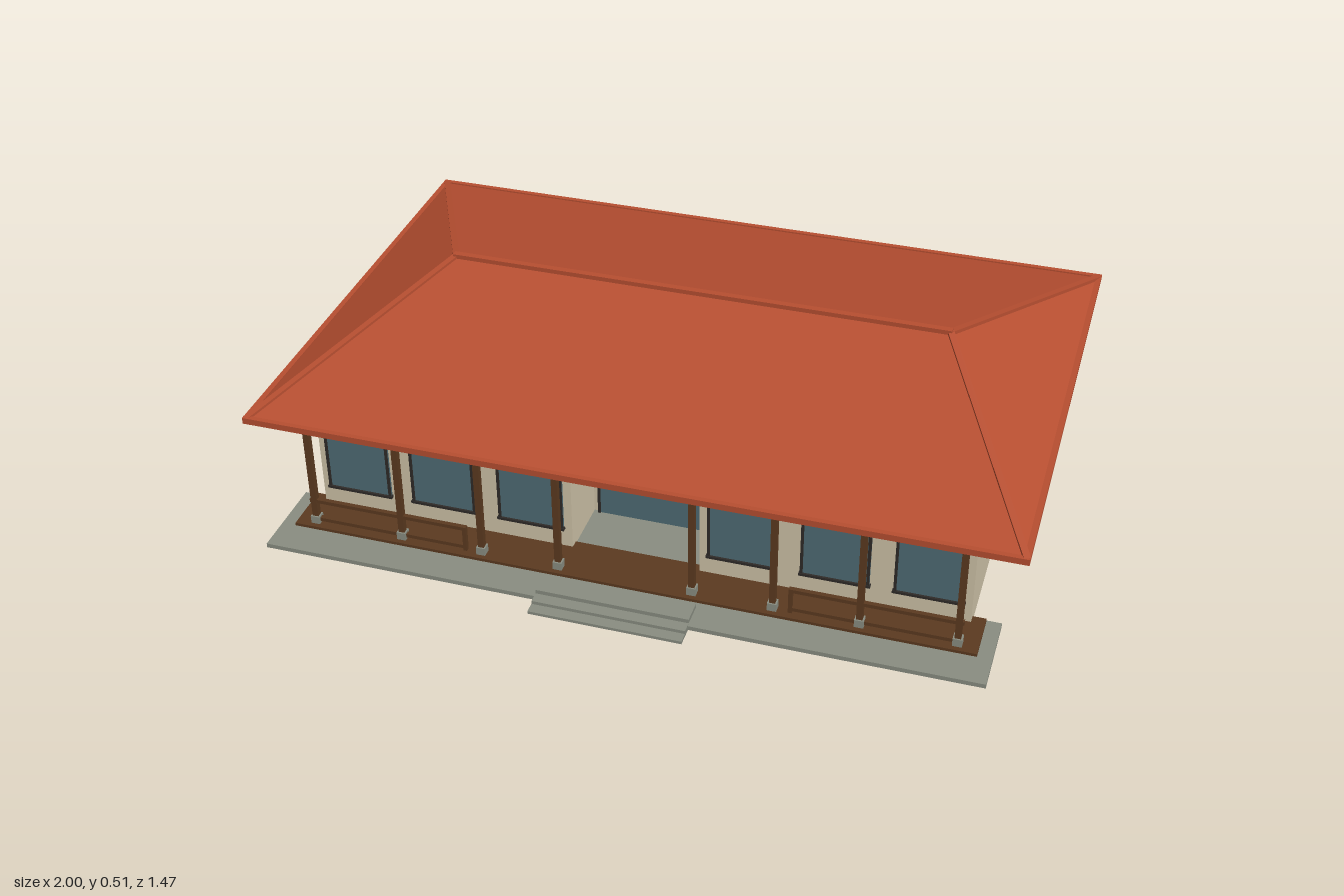
import * as THREE from 'three';
import { ConvexGeometry } from 'three/addons/geometries/ConvexGeometry.js';

const mat = (name, color) => {
  const m = new THREE.MeshStandardMaterial({ color });
  m.name = name;
  return m;
};

export function createModel() {
  const house = new THREE.Group();
  house.name = 'house';
  const tile = mat('roof tile', 0xb84f31);
  const plaster = mat('plaster', 0xd0c4a9);
  const glass = mat('glass', 0x4f6c75);
  const frame = mat('window frame', 0x2f2b28);
  const wood = mat('wood', 0x5c3a20);
  const stone = mat('stone', 0x8a8e82);

  const add = (parent, name, geometry, material) => {
    const mesh = new THREE.Mesh(geometry, material);
    mesh.name = name;
    parent.add(mesh);
    return mesh;
  };
  // Box given by its ranges along each axis
  const box = (parent, name, material, [x0, x1], [y0, y1], [z0, z1]) => {
    const mesh = add(parent, name, new THREE.BoxGeometry(x1 - x0, y1 - y0, z1 - z0), material);
    mesh.position.set((x0 + x1) / 2, (y0 + y1) / 2, (z0 + z1) / 2);
    return mesh;
  };

  const W = 0.865, FRONT = 0.478, BACK = -0.595, ALCOVE = 0.305, AW = 0.17, AH = 0.272;

  // Walls: plan with an entrance alcove, closed above by a full band
  const plan = new THREE.Shape([
    [-W, -FRONT], [-AW, -FRONT], [-AW, -ALCOVE], [AW, -ALCOVE],
    [AW, -FRONT], [W, -FRONT], [W, -BACK], [-W, -BACK],
  ].map(([x, y]) => new THREE.Vector2(x, y)));
  const walls = new THREE.ExtrudeGeometry(plan, { depth: AH, bevelEnabled: false });
  walls.rotateX(-Math.PI / 2);
  add(house, 'walls', walls, plaster);
  box(house, 'upperWall', plaster, [-W, W], [AH, 0.34], [BACK, FRONT]);

  // Window facing +z, turned to suit each wall
  const addWindow = (name, x, z, turn, w, y0, y1, bottomBar = true) => {
    const g = new THREE.Group();
    g.name = name;
    const h = w / 2, t = 0.007;
    box(g, 'pane', glass, [-h, h], [y0, y1], [-0.002, 0.006]);
    for (const s of [-1, 1]) {
      const x0 = s * (h - t / 2);
      box(g, 'jamb', frame, [x0 - t / 2, x0 + t / 2], [y0, y1], [-0.002, 0.01]);
    }
    box(g, 'lintel', frame, [-h - 0.003, h + 0.003], [y1 - t, y1], [-0.002, 0.012]);
    if (bottomBar) box(g, 'sill', frame, [-h - 0.003, h + 0.003], [y0, y0 + t], [-0.002, 0.012]);
    g.position.set(x, 0, z);
    g.rotation.y = turn;
    house.add(g);
  };
  for (const s of [-1, 1]) {
    for (const x of [0.28, 0.52, 0.757]) addWindow('frontWindow', s * x, FRONT, 0, 0.176, 0.078, 0.27);
    for (const z of [0.14, -0.147, -0.435]) addWindow('sideWindow', s * W, z, s * Math.PI / 2, 0.18, 0.08, 0.27);
  }
  for (let i = -2; i <= 2; i++) addWindow('backWindow', i * 0.333, BACK, Math.PI, 0.195, 0.08, 0.265);
  addWindow('entranceDoor', 0, ALCOVE, 0, 0.315, 0.015, 0.257, false);

  // Hipped roof
  const EX = 0.993, EF = 0.606, EB = -0.727, RX = 0.68, RZ = -0.06, RY = 0.505, EY = 0.345;
  const corners = [];
  for (const x of [-EX, EX]) for (const z of [EF, EB]) for (const y of [0.338, EY]) {
    corners.push(new THREE.Vector3(x, y, z));
  }
  for (const x of [-RX, RX]) corners.push(new THREE.Vector3(x, RY, RZ));
  add(house, 'roof', new ConvexGeometry(corners), tile);

  // Eave trim, ridge cap and hip caps
  for (const s of [-1, 1]) {
    box(house, 'sideEave', tile, s < 0 ? [-1, -0.985] : [0.985, 1], [0.334, 0.351], [-0.733, 0.612]);
  }
  box(house, 'frontEave', tile, [-1, 1], [0.334, 0.351], [0.598, 0.612]);
  box(house, 'backEave', tile, [-1, 1], [0.334, 0.351], [-0.733, -0.719]);
  box(house, 'ridgeCap', tile, [-RX - 0.005, RX + 0.005], [0.497, 0.515], [RZ - 0.009, RZ + 0.009]);
  for (const s of [-1, 1]) for (const z of [EF, EB]) {
    const a = new THREE.Vector3(s * EX, EY, z), b = new THREE.Vector3(s * RX, RY, RZ);
    const cap = add(house, 'hipCap', new THREE.BoxGeometry(0.017, 0.012, a.distanceTo(b)), tile);
    cap.position.lerpVectors(a, b, 0.5);
    cap.lookAt(b);
  }

  // Terrace, steps, alcove floor and wooden deck
  box(house, 'terrace', stone, [-0.938, 0.938], [0.004, 0.016], [0.452, 0.684]);
  box(house, 'alcoveFloor', stone, [-AW, AW], [0.001, 0.018], [ALCOVE, 0.478]);
  box(house, 'lowerStep', stone, [-0.2, 0.2], [0, 0.008], [0.612, 0.735]);
  box(house, 'middleStep', stone, [-0.2, 0.2], [0.002, 0.017], [0.612, 0.705]);
  box(house, 'upperStep', stone, [-0.2, 0.2], [0.01, 0.028], [0.612, 0.674]);
  box(house, 'deck', wood, [-0.9, 0.9], [0.014, 0.024], [0.455, 0.592]);

  // Porch columns on stone bases, carrying a beam
  const PZ = 0.567;
  box(house, 'porchBeam', wood, [-0.9, 0.9], [0.323, 0.338], [PZ - 0.008, PZ + 0.008]);
  for (const s of [-1, 1]) {
    for (const x of [0.177, 0.385, 0.605, 0.848]) {
      const c = s * x;
      box(house, 'column', wood, [c - 0.008, c + 0.008], [0.04, 0.33], [PZ - 0.008, PZ + 0.008]);
      box(house, 'columnBase', stone, [c - 0.012, c + 0.012], [0.022, 0.046], [PZ - 0.012, PZ + 0.012]);
    }
    // Railing at each end of the porch
    const span = s < 0 ? [-0.86, -0.425] : [0.425, 0.86];
    for (const y of [0.036, 0.093]) {
      box(house, 'rail', wood, span, [y - 0.005, y + 0.005], [PZ - 0.006, PZ + 0.006]);
    }
    const p = s * 0.43;
    box(house, 'railPost', wood, [p - 0.005, p + 0.005], [0.022, 0.098], [PZ - 0.006, PZ + 0.006]);
  }
  return house;
}
